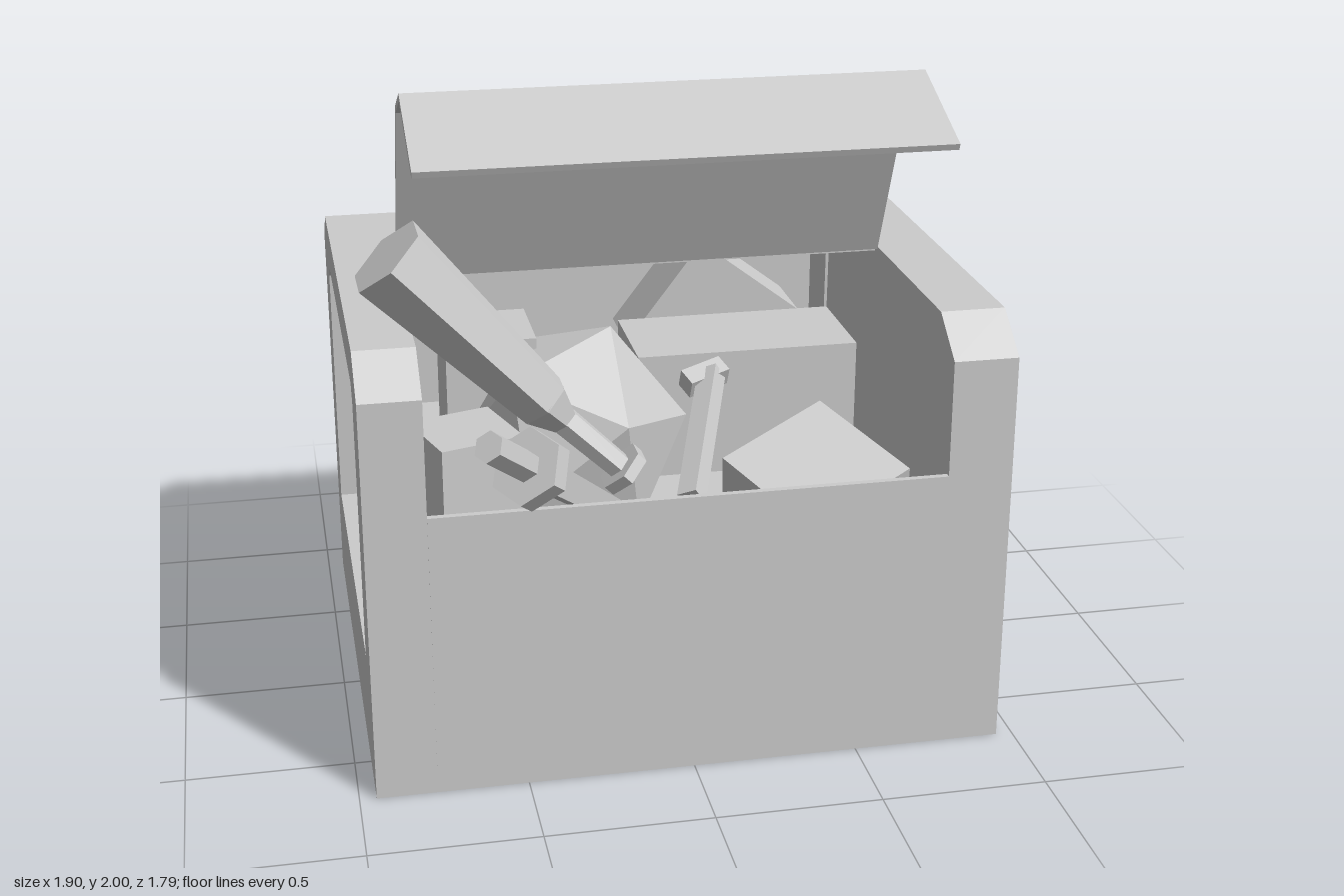
import * as THREE from 'three';

const material = new THREE.MeshStandardMaterial({ color: 0xcccccc, flatShading: true, side: THREE.DoubleSide });
const V = (x, y, z) => new THREE.Vector3(x, y, z);
const points = (list) => list.map(([z, y]) => new THREE.Vector2(z, y));

function add(parent, name, geometry, position = [0, 0, 0], rotation = [0, 0, 0]) {
  const mesh = new THREE.Mesh(geometry, material);
  mesh.name = name;
  mesh.position.set(...position);
  mesh.rotation.set(...rotation);
  parent.add(mesh);
  return mesh;
}

// Extrudes a side outline given as (z, y) from x0 to x1
function across(shape, x0, x1) {
  const g = new THREE.ExtrudeGeometry(shape, { depth: x1 - x0, bevelEnabled: false });
  return g.rotateY(-Math.PI / 2).translate(x1, 0, 0);
}

// Bent sheet of even thickness, grown to the left of the path, with mitred corners
function sheet(path, thickness, x0, x1) {
  const p = points(path);
  const normal = (a, b) => new THREE.Vector2(a.y - b.y, b.x - a.x).normalize();
  const inner = p.map((q, i) => {
    const a = normal(p[Math.max(i - 1, 0)], p[Math.max(i, 1)]);
    const last = p.length - 1;
    const b = normal(p[Math.min(i, last - 1)], p[Math.min(i + 1, last)]);
    const m = a.clone().add(b).normalize();
    return q.clone().addScaledVector(m, thickness / m.dot(a));
  });
  return across(new THREE.Shape([...p, ...inner.reverse()]), x0, x1);
}

// Low-poly rod between two points
function rod(parent, name, from, to, r0, r1 = r0, sides = 6) {
  const dir = to.clone().sub(from);
  const mesh = add(parent, name, new THREE.CylinderGeometry(r1, r0, dir.length(), sides));
  mesh.position.copy(from).addScaledVector(dir, 0.5);
  mesh.quaternion.setFromUnitVectors(V(0, 1, 0), dir.normalize());
  return mesh;
}

export function createModel() {
  const model = new THREE.Group();
  model.name = 'toyChest';
  const left = 0.755, right = -0.77;

  // Chest: front, floor, back and rear top in one bent sheet
  const chest = new THREE.Group();
  chest.name = 'chest';
  model.add(chest);
  const shell = [[0.705, 0.88], [0.71, 0], [-0.89, 0], [-0.885, 1.235], [-0.75, 1.34], [-0.1, 1.34]];
  add(chest, 'shell', sheet(shell.reverse(), 0.02, right, left));

  // Side frames with a recessed panel
  const outline = [[0.71, 0], [0.7, 1.235], [0.56, 1.34], [-0.75, 1.34], [-0.885, 1.235], [-0.89, 0]];
  const opening = [[0.5, 0.36], [0.49, 1.16], [0.45, 1.205], [-0.61, 1.205], [-0.665, 1.16], [-0.685, 0.355]];
  for (const [name, x0, x1, p0, p1] of [
    ['left', left, 0.95, left + 0.01, 0.885],
    ['right', -0.95, right, -0.885, right - 0.01],
  ]) {
    const frame = new THREE.Shape(points(outline));
    frame.holes.push(new THREE.Path(points(opening)));
    add(chest, name + 'Frame', across(frame, x0, x1));
    add(chest, name + 'Panel', across(new THREE.Shape(points(opening)), p0, p1));
  }

  // Open lid
  const lid = [[0.65, 1.865], [0.315, 2], [0.16, 1.925], [-0.095, 1.34]];
  add(model, 'lid', sheet(lid, 0.02, right, left));

  // Bat
  const bat = new THREE.Group();
  bat.name = 'bat';
  model.add(bat);
  const tip = V(-0.84, 1.605, 0.55), waist = V(-0.41, 1.135, 0.52);
  const neck = V(-0.35, 1.07, 0.52), knob = V(-0.17, 0.9, 0.54);
  rod(bat, 'barrel', waist, tip, 0.085, 0.13);
  rod(bat, 'taper', neck, waist, 0.045, 0.085);
  rod(bat, 'handle', knob, neck, 0.04, 0.045);
  rod(bat, 'knob', knob, knob.clone().add(V(-0.025, 0.025, 0)), 0.08);

  // Toy sword
  const sword = new THREE.Group();
  sword.name = 'sword';
  model.add(sword);
  const along = (t) => V(-0.61 + t, 1.15 - t, 0.86 - t);
  rod(sword, 'grip', along(0), along(0.14), 0.047);
  rod(sword, 'guard', along(0.115), along(0.15), 0.115);
  rod(sword, 'blade', along(0.15), along(0.6), 0.06, 0.04, 4);

  // Stick with a crossbar
  const stick = new THREE.Group();
  stick.name = 'stick';
  model.add(stick);
  rod(stick, 'shaft', V(0.03, 0.78, 0.5), V(0.19, 1.0, 0.05), 0.045, 0.045, 4);
  rod(stick, 'crossbar', V(0.1, 0.98, 0.08), V(0.23, 1.0, 0.03), 0.045, 0.045, 4);

  // Faceted ball
  add(model, 'ball', new THREE.IcosahedronGeometry(0.36, 0), [-0.26, 0.85, 0.08], [0.2, 0.5, 0.15]);

  // Blocks: size, position, rotation
  const blocks = [
    [[0.28, 0.6, 0.28], [-0.5, 0.85, -0.1], [0, 0, 0]],
    [[0.26, 0.5, 0.26], [-0.62, 0.75, 0.36], [0, 0.3, 0]],
    [[0.71, 0.6, 0.36], [0.325, 0.74, -0.2], [0, 0, 0]],
    [[0.42, 0.42, 0.25], [0.3, 0.98, -0.55], [0, 0, 0.92]],
    [[0.4, 0.4, 0.4], [0.45, 0.64, 0.35], [0.3, 0.5, 0.1]],
    [[1.4, 0.6, 1.4], [-0.01, 0.33, -0.1], [0, 0, 0]],
  ];
  for (const [size, position, rotation] of blocks) {
    add(model, 'block', new THREE.BoxGeometry(...size), position, rotation);
  }
  return model;
}
